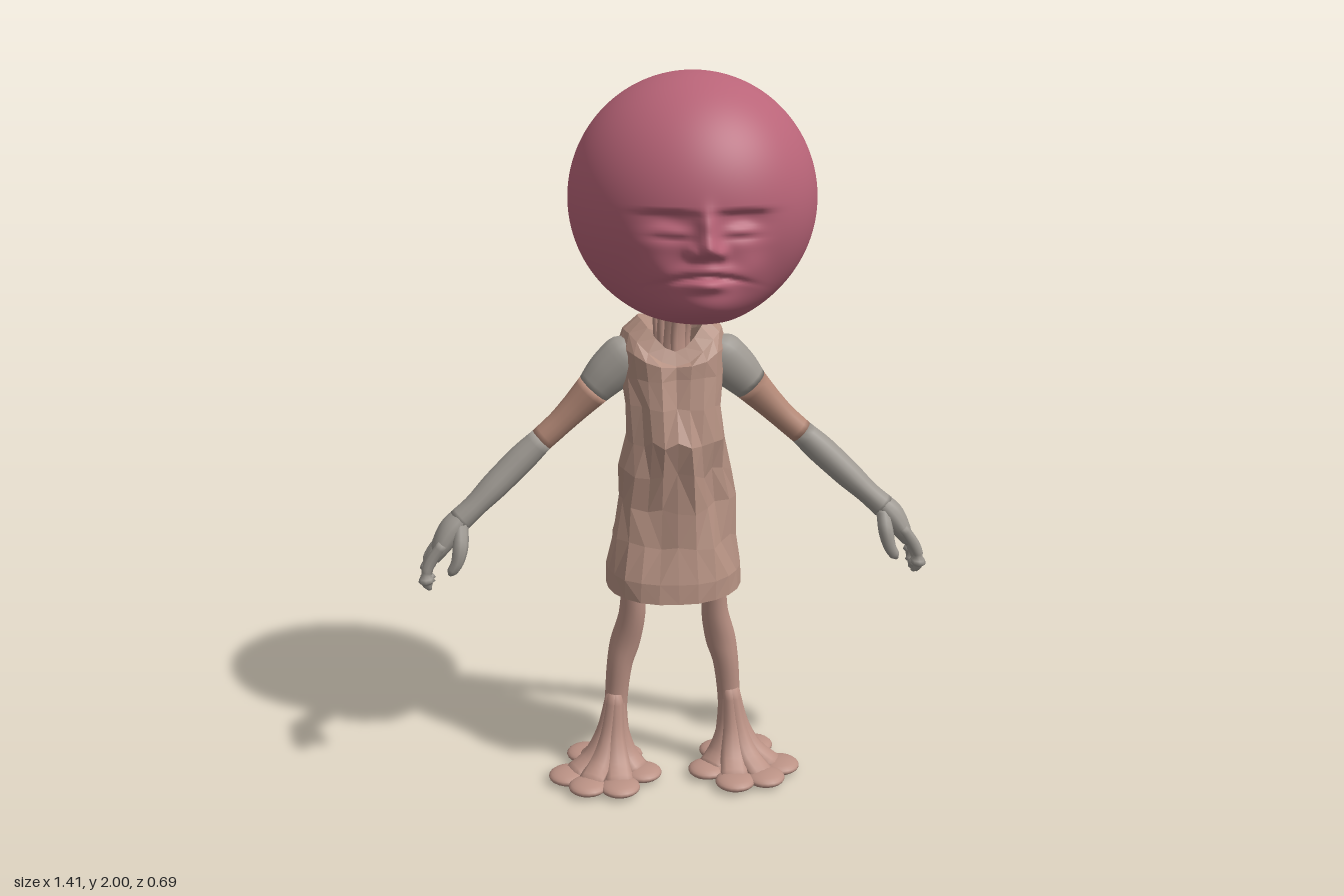
import * as THREE from 'three';
import { mergeVertices } from 'three/addons/utils/BufferGeometryUtils.js';

const paint = (name, color) => {
  const m = new THREE.MeshStandardMaterial({ color });
  m.name = name;
  return m;
};

function add(group, name, geometry, material) {
  const mesh = new THREE.Mesh(geometry, material);
  mesh.name = name;
  group.add(mesh);
  return mesh;
}

// Tapered limb through points [x, y, z, radius across, radius along ref]
function limb(points, ref = new THREE.Vector3(0, 0, 1), sides = 14, perSpan = 4) {
  const path = new THREE.CatmullRomCurve3(points.map(p => new THREE.Vector3(p[0], p[1], p[2])));
  const radii = new THREE.CatmullRomCurve3(points.map(p => new THREE.Vector3(p[3], p[4] ?? p[3], 0)));
  const steps = (points.length - 1) * perSpan, pos = [], idx = [];
  for (let i = 0; i <= steps; i++) {
    const c = path.getPoint(i / steps), r = radii.getPoint(i / steps), t = path.getTangent(i / steps);
    const a = new THREE.Vector3().crossVectors(t, ref).normalize();
    const b = new THREE.Vector3().crossVectors(t, a);
    for (let j = 0; j < sides; j++) {
      const q = j / sides * Math.PI * 2;
      const v = c.clone().addScaledVector(a, r.x * Math.cos(q)).addScaledVector(b, r.y * Math.sin(q));
      pos.push(v.x, v.y, v.z);
    }
  }
  const start = pos.length / 3, end = start + 1, last = steps * sides;
  pos.push(...points[0].slice(0, 3), ...points.at(-1).slice(0, 3));
  for (let j = 0; j < sides; j++) {
    const k = (j + 1) % sides;
    for (let i = 0; i < steps; i++) {
      const o = i * sides, n = o + sides;
      idx.push(o + j, o + k, n + j, o + k, n + k, n + j);
    }
    idx.push(start, k, j, end, last + j, last + k);
  }
  const g = new THREE.BufferGeometry();
  g.setAttribute('position', new THREE.Float32BufferAttribute(pos, 3));
  g.setIndex(idx);
  g.computeVertexNormals();
  return g;
}

// Large round head, with the face pushed out of its front
function headGeometry() {
  const R = 0.322;
  let g = new THREE.SphereGeometry(R, 200, 140);
  g.deleteAttribute('uv');
  g.deleteAttribute('normal');
  g = mergeVertices(g, 1e-5);
  const p = g.attributes.position;
  const bump = (x, y, sx, sy) => Math.exp(-((x / sx) ** 2) - (y / sy) ** 2);
  for (let i = 0; i < p.count; i++) {
    const x = p.getX(i), y = p.getY(i), z = p.getZ(i), ax = Math.abs(x);
    const front = THREE.MathUtils.smoothstep(z, 0.0, 0.14);
    const mouth = y + 0.152 + 1.6 * x * x;
    let d = 0.085 * bump(x, y + 0.25, 0.14, 0.085);                          // chin
    d -= 0.024 * bump(ax - 0.09, 0, 0.06, 1) * THREE.MathUtils.smoothstep(-y, -0.014, 0.004)
       * (1 - THREE.MathUtils.smoothstep(-y, 0.02, 0.085));                 // sockets under the brow
    d += 0.013 * bump(ax - 0.085, y + 0.04, 0.04, 0.016);                    // closed lids
    d -= 0.006 * bump(ax - 0.085, y + 0.058, 0.045, 0.006);
    d += 0.026 * bump(x, y + 0.035, 0.02, 0.04);                             // nose bridge
    d += 0.05 * bump(x, y + 0.08, 0.024, 0.026);                             // nose tip
    d += 0.024 * bump(ax - 0.032, y + 0.092, 0.016, 0.017);                  // nostrils
    d += 0.022 * bump(x, mouth - 0.018, 0.065, 0.018);                       // lips
    d += 0.026 * bump(x, mouth + 0.018, 0.045, 0.016);
    d -= 0.016 * bump(x, mouth, 0.085, 0.007);
    d += 0.012 * bump(ax - 0.11, y + 0.14, 0.045, 0.045);                    // cheeks
    p.setXYZ(i, x, Math.max(y, -0.288), z + d * front);
  }
  g.computeVertexNormals();
  return g;
}

// Faceted smock from elliptical rings, with folds and a lowered V neck
function smockGeometry() {
  // [y, half width, centre z, half depth, fold size]
  const rings = [
    [0.595, 0.190, -0.085, 0.155, 0.002], [0.65, 0.188, -0.085, 0.152, 0.004],
    [0.74, 0.172, -0.088, 0.130, 0.014], [0.84, 0.158, -0.092, 0.124, 0.016],
    [0.94, 0.143, -0.078, 0.118, 0.016], [1.03, 0.130, -0.063, 0.118, 0.014],
    [1.12, 0.130, -0.080, 0.108, 0.012], [1.20, 0.138, -0.098, 0.110, 0.009],
    [1.275, 0.148, -0.105, 0.112, 0.004], [1.32, 0.135, -0.115, 0.102, 0.002],
    [1.355, 0.095, -0.112, 0.080, 0], [1.315, 0.075, -0.110, 0.066, 0], [1.24, 0.066, -0.105, 0.058, 0],
  ];
  const sides = 22, pos = [], idx = [];
  let seed = 7;
  const rand = () => (seed = (seed * 16807) % 2147483647) / 2147483647 - 0.5;
  rings.forEach(([y, w, cz, depth, fold], i) => {
    for (let j = 0; j < sides; j++) {
      const q = j / sides * Math.PI * 2, s = Math.sin(q), c = Math.cos(q);
      const k = fold * (0.6 * Math.sin(5 * q + y * 8) + 1.3 * rand());
      const centreFold = j === 0 && i > 2 && i < 9 ? -0.016 : 0;
      const dip = i > 7 && i < 12 ? (i > 8 ? 0.085 : 0.045) * Math.max(0, c) ** 3
        + 0.03 * Math.max(0, -c) ** 3 : 0;
      const sag = i < 2 ? -0.01 * c : fold * 1.5 * rand();
      pos.push((w + k) * s, y - dip + sag, cz + (depth + k + centreFold) * c);
    }
  });
  for (let i = 0; i < rings.length - 1; i++) for (let j = 0; j < sides; j++) {
    const a = i * sides + j, b = i * sides + (j + 1) % sides, c = a + sides, d = b + sides;
    if ((i + (j < sides / 2 ? 0 : 1)) % 2) idx.push(a, b, c, b, d, c);
    else idx.push(a, b, d, a, d, c);
  }
  const g = new THREE.BufferGeometry();
  g.setAttribute('position', new THREE.Float32BufferAttribute(pos, 3));
  g.setIndex(idx);
  const flat = g.toNonIndexed();
  flat.computeVertexNormals();
  return flat;
}

export function createModel() {
  const model = new THREE.Group();
  model.name = 'bigHeadedFigure';
  const rose = paint('roseHead', 0xb96478);
  const skin = paint('skin', 0xbb9285);
  const cloth = paint('cloth', 0xb59182);
  cloth.side = THREE.DoubleSide;
  const grey = paint('greyArm', 0x9d9891);
  const elbow = paint('armBlush', 0xb38876);

  add(model, 'head', headGeometry(), rose).position.set(0.043, 1.678, -0.023);
  add(model, 'smock', smockGeometry(), cloth);

  // Neck with standing tendons
  add(model, 'neck', limb([[0, 1.16, -0.1, 0.055], [0, 1.28, -0.105, 0.045, 0.052],
    [0.005, 1.36, -0.11, 0.045, 0.06], [0.01, 1.45, -0.11, 0.06, 0.08]]), skin);
  for (let i = 0; i < 7; i++) {
    const q = i / 7 * Math.PI * 2, s = Math.sin(q), c = Math.cos(q);
    add(model, 'neckTendon', limb([[s * 0.036, 1.2, -0.105 + c * 0.04, 0.014],
      [s * 0.043, 1.32, -0.108 + c * 0.055, 0.01],
      [0.01 + s * 0.058, 1.43, -0.11 + c * 0.08, 0.013]], undefined, 8), skin);
  }

  for (const s of [1, -1]) {
    const side = s > 0 ? 'left' : 'right';
    const part = (name, pts, mat, ref, sides) =>
      add(model, side + name, limb(pts.map(([x, ...rest]) => [s * x, ...rest]), ref, sides), mat);

    // Arm: grey shoulder, flushed upper arm, grey forearm
    part('Shoulder', [[0.09, 1.27, -0.1, 0.04, 0.035], [0.13, 1.24, -0.1, 0.068, 0.05],
      [0.175, 1.2, -0.103, 0.062, 0.05], [0.215, 1.157, -0.106, 0.05, 0.045]], grey);
    part('UpperArm', [[0.215, 1.157, -0.106, 0.05, 0.045], [0.265, 1.105, -0.11, 0.041, 0.039],
      [0.31, 1.06, -0.112, 0.036, 0.037], [0.36, 1.015, -0.112, 0.035, 0.037]], elbow);
    part('Forearm', [[0.36, 1.015, -0.112, 0.035, 0.037], [0.42, 0.96, -0.105, 0.04, 0.043],
      [0.49, 0.895, -0.09, 0.038, 0.045], [0.55, 0.84, -0.072, 0.032, 0.04],
      [0.59, 0.805, -0.064, 0.034, 0.04]], grey);

    // Hand
    part('Palm', [[0.575, 0.82, -0.066, 0.03, 0.036], [0.61, 0.785, -0.06, 0.035, 0.046],
      [0.64, 0.74, -0.058, 0.028, 0.053], [0.655, 0.705, -0.058, 0.014, 0.044]], grey);
    for (let i = 0; i < 4; i++) {
      const z = -0.1 + i * 0.029, drop = [0.02, 0, 0, 0.012][i];
      part('Finger', [[0.635, 0.755, z, 0.014], [0.667, 0.71, z - 0.003, 0.016],
        [0.682, 0.665 + drop, z, 0.014], [0.682, 0.632 + drop, z, 0.014],
        [0.676, 0.615 + drop, z, 0.005]], grey, undefined, 8);
    }
    part('Thumb', [[0.585, 0.8, -0.045, 0.02], [0.587, 0.75, -0.012, 0.021],
      [0.598, 0.705, -0.002, 0.017], [0.613, 0.68, -0.003, 0.014],
      [0.62, 0.67, -0.003, 0.005]], grey, undefined, 8);

    // Leg with a knobbly knee
    part('Leg', [[0.11, 0.74, -0.075, 0.045], [0.115, 0.6, -0.077, 0.034, 0.041],
      [0.118, 0.5, -0.09, 0.038, 0.04], [0.137, 0.41, -0.107, 0.043, 0.04],
      [0.153, 0.34, -0.11, 0.037, 0.037], [0.165, 0.22, -0.113, 0.033, 0.03],
      [0.172, 0.12, -0.11, 0.045, 0.045], [0.18, 0.03, -0.1, 0.09, 0.085]], skin);

    // Splayed foot: flat round pads joined to the ankle by tendons [x, z, radius]
    const pads = [[0.307, -0.055, 0.058], [0.255, 0.015, 0.056], [0.165, 0.03, 0.057],
      [0.095, -0.05, 0.056], [0.14, -0.165, 0.055], [0.25, -0.187, 0.058]];
    for (const [x, z, r] of pads) {
      const pad = add(model, side + 'ToePad', new THREE.SphereGeometry(1, 20, 12), skin);
      pad.scale.set(r, 0.02, r);
      pad.position.set(s * x, 0.02, z);
      const dx = x - 0.17, dz = z + 0.11;
      const ref = new THREE.Vector3(-dz, 0, s * dx).normalize();
      part('FootTendon', [[0.165 + dx * 0.06, 0.25, -0.112 + dz * 0.1, 0.02],
        [0.17 + dx * 0.22, 0.13, -0.11 + dz * 0.22, 0.025, 0.026],
        [0.17 + dx * 0.5, 0.062, -0.11 + dz * 0.5, 0.024, 0.036],
        [0.17 + dx * 0.95, 0.025, -0.11 + dz * 0.95, 0.014, 0.04]], skin, ref, 10);
    }
    const sole = add(model, side + 'Sole', new THREE.SphereGeometry(1, 24, 12), skin);
    sole.scale.set(0.1, 0.022, 0.1);
    sole.position.set(s * 0.19, 0.023, -0.085);
  }
  return model;
}
